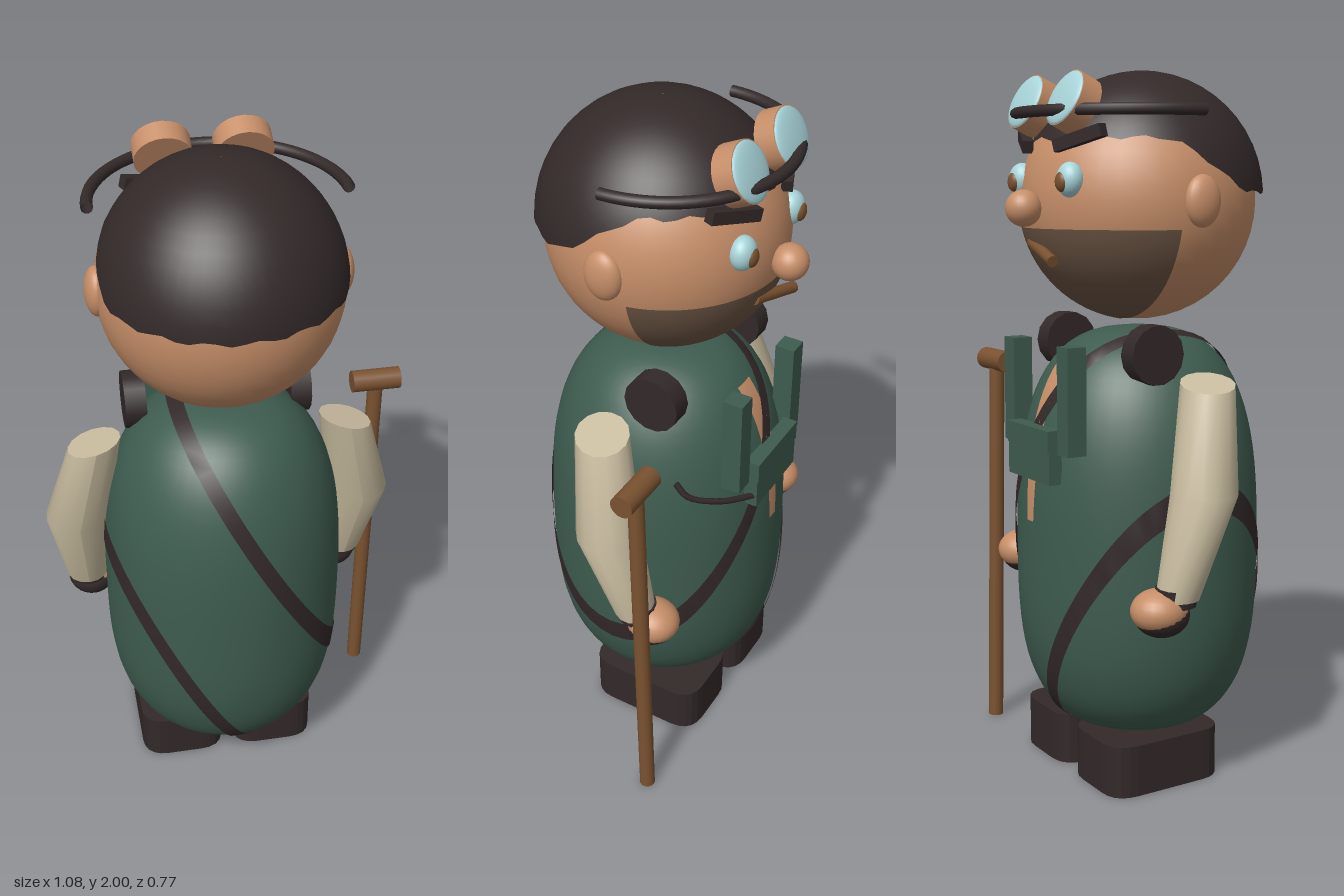
import * as THREE from 'three';
import { ParametricGeometry } from 'three/addons/geometries/ParametricGeometry.js';

const paint = (name, color, side = THREE.FrontSide) =>
  new THREE.MeshStandardMaterial({ name, color, side });

export function createModel() {
  const skin = paint('skin', 0xc68e68);
  const dark = paint('dark', 0x332929);
  const green = paint('green', 0x3e5c4f);
  const cream = paint('cream', 0xc9bda0);
  const brown = paint('brown', 0x7a5230);
  const glass = paint('glass', 0xa8d4d9);
  const stubble = paint('stubble', 0x6b5443);

  const root = new THREE.Group();
  const figure = new THREE.Group();
  figure.name = 'figure';
  figure.position.x = -0.03;
  root.add(figure);

  const V = (x, y, z) => new THREE.Vector3(x, y, z);
  const add = (name, geo, mat, x = 0, y = 0, z = 0) => {
    const m = new THREE.Mesh(geo, mat);
    m.name = name;
    m.position.set(x, y, z);
    figure.add(m);
    return m;
  };
  const ball = (name, mat, p, r) => {
    const m = add(name, new THREE.SphereGeometry(1, 24, 16), mat, ...p);
    m.scale.set(...r);
    return m;
  };
  const box = (name, mat, p, s) => add(name, new THREE.BoxGeometry(...s), mat, ...p);
  const rod = (name, mat, a, b, r, sides = 16) => {
    const dir = b.clone().sub(a);
    const m = add(name, new THREE.CylinderGeometry(r, r, dir.length(), sides), mat);
    m.position.copy(a).add(b).multiplyScalar(0.5);
    m.quaternion.setFromUnitVectors(V(0, 1, 0), dir.normalize());
    return m;
  };

  // Body: a rounded barrel
  const bodyZ = 0.025;
  const bodyRadius = (y) => {
    const up = y > 0.65;
    const t = Math.min(1, Math.abs(y - 0.65) / (up ? 0.64 : 0.54));
    const n = up ? 2.8 : 3;
    return 0.35 * Math.pow(1 - Math.pow(t, n), 1 / n);
  };
  const profile = [];
  for (let i = 0; i <= 40; i++) {
    const c = -Math.cos((i / 40) * Math.PI);
    const y = 0.65 + c * (c > 0 ? 0.64 : 0.54);
    profile.push(new THREE.Vector2(bodyRadius(y), y));
  }
  add('body', new THREE.LatheGeometry(profile, 48), green, 0, 0, bodyZ);

  // Diagonal belts: slanted rings that hug the body
  const belt = (name, cx, cy) => {
    const along = V(0.475, -0.88, 0), across = V(0.88, 0.475, 0);
    const mat = dark.clone === undefined ? dark : beltMat;
    const geo = new ParametricGeometry((u, v, out) => {
      const a = u * Math.PI * 2;
      const c = V(cx, cy, 0).addScaledVector(across, (v - 0.5) * 0.044);
      const d = along.clone().multiplyScalar(Math.cos(a)).add(V(0, 0, Math.sin(a)));
      let lo = 0, hi = 1.2;
      for (let k = 0; k < 24; k++) {
        const t = (lo + hi) / 2;
        const p = c.clone().addScaledVector(d, t);
        if (Math.hypot(p.x, p.z) < bodyRadius(p.y)) lo = t; else hi = t;
      }
      out.copy(c).addScaledVector(d, lo + 0.006);
    }, 72, 1);
    add(name, geo, mat, 0, 0, bodyZ);
  };
  const beltMat = dark;
  dark.side = THREE.DoubleSide;
  belt('upperBelt', 0.11, 0.835);
  belt('lowerBelt', -0.15, 0.485);

  // Shirt strip down the chest
  add('shirtStrip', new ParametricGeometry((u, v, out) => {
    const y = 1.2 - v * 0.44;
    const x = (u - 0.5) * (0.065 - 0.03 * v);
    out.set(x, y, -Math.sqrt(bodyRadius(y) ** 2 - x * x) - 0.005);
  }, 2, 16), skin, 0, 0, bodyZ);

  // Bib with two uprights and a cord
  box('bibPanel', green, [0, 0.955, -0.312], [0.235, 0.15, 0.04]);
  box('bibFlap', green, [0, 1.0, -0.328], [0.235, 0.06, 0.015]);
  add('bibCord', new THREE.TubeGeometry(new THREE.CatmullRomCurve3([
    V(0.29, 1.02, -0.17), V(0.28, 0.98, -0.2), V(0.21, 0.94, -0.265), V(0.1, 0.91, -0.325),
  ]), 16, 0.009, 8), dark);

  // Boots: rounded footprints pulled straight up
  const foot = new THREE.Shape();
  const fw = 0.128, fl = 0.183, fr = 0.075;
  foot.moveTo(-fw + fr, -fl);
  foot.lineTo(fw - fr, -fl);
  foot.quadraticCurveTo(fw, -fl, fw, -fl + fr);
  foot.lineTo(fw, fl - fr);
  foot.quadraticCurveTo(fw, fl, fw - fr, fl);
  foot.lineTo(-fw + fr, fl);
  foot.quadraticCurveTo(-fw, fl, -fw, fl - fr);
  foot.lineTo(-fw, -fl + fr);
  foot.quadraticCurveTo(-fw, -fl, -fw + fr, -fl);

  // Sleeve: three rings from shoulder to elbow to wrist
  const sleeve = (s) => {
    const rings = [[0.36, 1.165, 0.02, 0.075], [0.42, 0.88, -0.03, 0.092], [0.4, 0.6, -0.1, 0.06]];
    const geo = new THREE.CylinderGeometry(1, 1, 2, 14, 2);
    const pos = geo.attributes.position;
    for (let i = 0; i < pos.count; i++) {
      const [x, y, z, r] = rings[1 - Math.round(pos.getY(i))];
      const px = pos.getX(i) * r, pz = pos.getZ(i) * r;
      const tilt = y > 1 ? -px * s * 0.25 + pz * 0.1 : 0;
      pos.setXYZ(i, s * x + px, y + tilt, z + pz);
    }
    geo.computeVertexNormals();
    return geo;
  };

  // Parts on both sides
  for (const s of [-1, 1]) {
    const boot = add('boot', new THREE.ExtrudeGeometry(foot, { depth: 0.148, bevelEnabled: false, curveSegments: 5 }), dark, s * 0.145, 0, -0.033);
    boot.rotation.x = -Math.PI / 2;
    add('sleeve', sleeve(s), cream);
    add('cuff', new THREE.CylinderGeometry(0.057, 0.055, 0.05, 14), dark, s * 0.4, 0.607, -0.105);
    ball('hand', skin, [s * 0.385, 0.57, -0.148], [0.075, 0.06, 0.08]);
    ball('palm', dark, [s * 0.385, 0.557, -0.14], [0.072, 0.06, 0.077]);
    rod('shoulderPad', dark, V(s * 0.205, 1.235, -0.075), V(s * 0.265, 1.235, -0.075), 0.082, 14);
    box('bibUpright', green, [s * 0.153, 1.113, -0.28], [0.058, 0.295, 0.058]);

    // Face
    ball('ear', skin, [s * 0.325, 1.645, 0.022], [0.034, 0.07, 0.055]);
    ball('eye', glass, [s * 0.135, 1.7, -0.27], [0.042, 0.047, 0.036]);
    ball('pupil', brown, [s * 0.135, 1.695, -0.296], [0.024, 0.027, 0.016]);
    const brow = box('eyebrow', dark, [s * 0.15, 1.808, -0.25], [0.16, 0.034, 0.03]);
    brow.rotation.set(0, -s * 0.4, s * 0.25);

    // Goggle cup and lens
    const cup = add('goggleCup', new THREE.CylinderGeometry(0.08, 0.08, 0.06, 24), skin, s * 0.11, 1.9, -0.243);
    cup.rotation.x = -1.13;
    const lens = ball('goggleLens', glass, [s * 0.11, 1.912, -0.27], [0.078, 0.016, 0.078]);
    lens.rotation.x = -1.13;
  }

  // Head and nose
  const headR = 0.332;
  add('head', new THREE.SphereGeometry(headR, 36, 24), skin, 0, 1.643, 0.025);
  ball('nose', skin, [0, 1.625, -0.338], [0.05, 0.05, 0.05]);

  // Hair: a cap whose hairline rises towards the face
  add('hair', new ParametricGeometry((u, v, out) => {
    const a = -u * Math.PI * 2;
    const rise = 1 - THREE.MathUtils.smoothstep(Math.cos(a), -0.4, 0.5);
    const line = 0.012 + 0.142 * rise + 0.006 * Math.sin(a * 17);
    const th = 0.005 + v * (Math.acos(line / 0.345) - 0.005);
    out.set(Math.sin(th) * Math.sin(a), Math.cos(th), Math.sin(th) * Math.cos(a)).multiplyScalar(0.345);
    out.x *= 0.97;
  }, 60, 12), dark, 0, 1.655, 0.04);

  // Beard: lower front patch, cut straight at the top and at the sides
  stubble.side = THREE.DoubleSide;
  add('beard', new ParametricGeometry((u, v, out) => {
    const R = headR + 0.004;
    const th = Math.acos(-0.073 / R);
    const t = th + v * (Math.PI - Math.asin(0.066 / R) - th);
    const ring = R * Math.sin(t);
    const a = (0.5 - u) * 2 * Math.acos(Math.min(1, 0.065 / ring));
    out.set(-ring * Math.sin(a), R * Math.cos(t), -ring * Math.cos(a));
  }, 32, 14), stubble, 0, 1.643, 0.025);

  // Mouth piece
  rod('mouthStick', brown, V(0.07, 1.53, -0.275), V(-0.1, 1.485, -0.305), 0.016, 10);

  // Goggle strap: half ring around the front
  const strap = add('goggleStrap', new THREE.TorusGeometry(0.336, 0.016, 10, 36, Math.PI), dark, 0, 1.88, 0.02);
  strap.rotation.x = -Math.PI / 2;

  // Walking cane
  rod('caneShaft', brown, V(0.503, 0, -0.195), V(0.503, 1.15, -0.172), 0.023);
  rod('caneHandle', brown, V(0.43, 1.15, -0.173), V(0.575, 1.15, -0.173), 0.033);

  return root;
}
